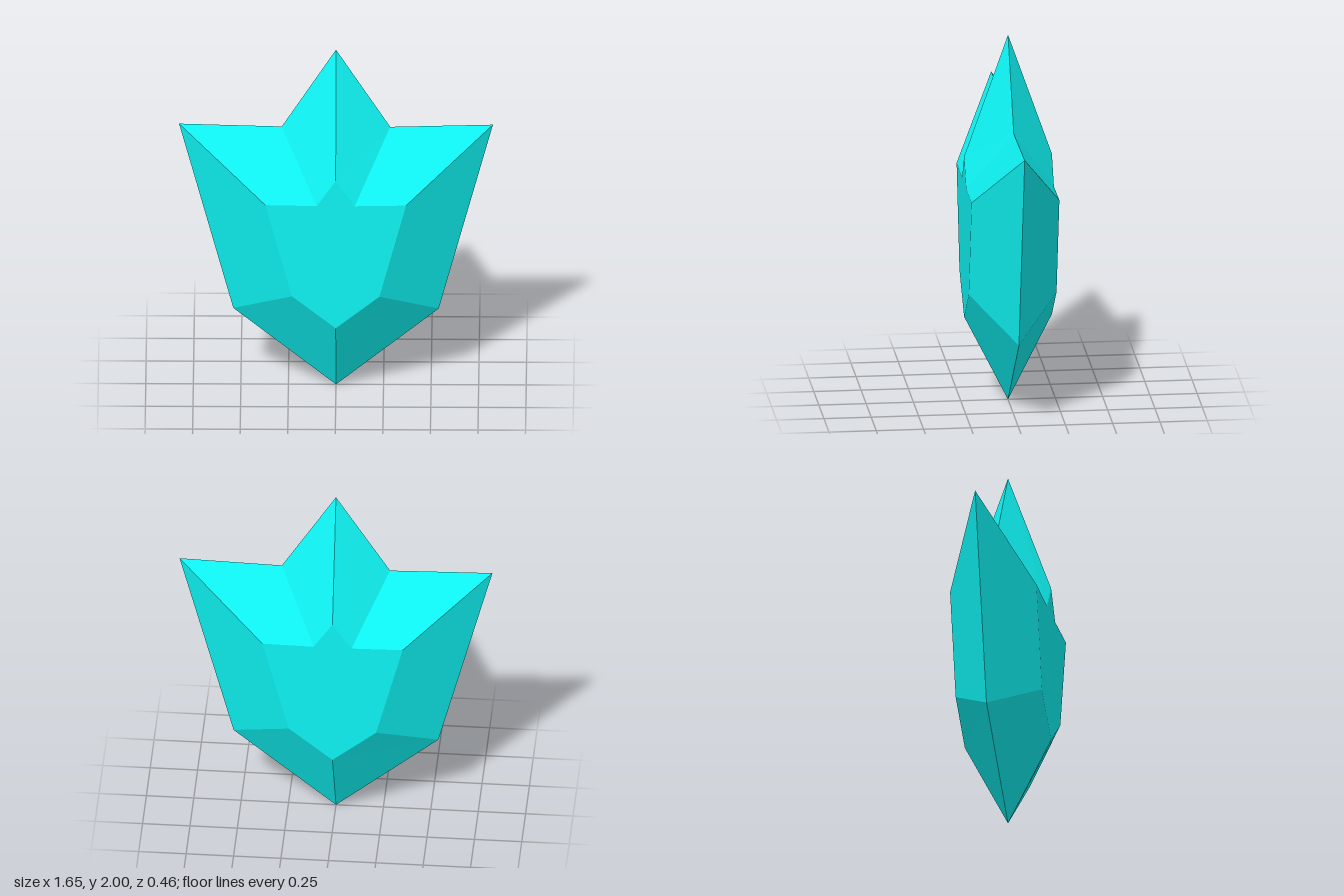
import * as THREE from 'three';

// Half outlines from bottom tip to top tip: the thin rim and the raised flat face
const rimHalf = [[0, 0], [0.54, 0.455], [0.825, 1.555], [0.285, 1.54], [0, 2]];
const faceHalf = [[0, 0.46], [0.23, 0.65], [0.37, 1.195], [0.1, 1.19], [0, 1.34]];
const DEPTH = 0.232;

// Complete a half outline with its mirror image, counter-clockwise
function mirrored(half) {
  const other = half.slice(1, -1).reverse().map(([x, y]) => [-x, y]);
  return [...half, ...other].map(([x, y]) => new THREE.Vector2(x, y));
}

// One faceted half of the crystal; side is 1 for front, -1 for back
function crystalHalf(side) {
  const rim = mirrored(rimHalf), face = mirrored(faceHalf);
  const positions = [];
  const triangle = (...corners) => {
    if (side < 0) corners.reverse();
    for (const [p, z] of corners) positions.push(p.x, p.y, z * side);
  };

  // Sloping facets from the rim to the flat face
  rim.forEach((p, i) => {
    const j = (i + 1) % rim.length;
    const a = [p, 0], b = [rim[j], 0], c = [face[j], DEPTH], d = [face[i], DEPTH];
    triangle(a, b, c);
    triangle(a, c, d);
  });

  // Flat face
  for (const tri of THREE.ShapeUtils.triangulateShape(face, [])) {
    triangle(...tri.map((i) => [face[i], DEPTH]));
  }

  const geometry = new THREE.BufferGeometry();
  geometry.setAttribute('position', new THREE.Float32BufferAttribute(positions, 3));
  geometry.computeVertexNormals();
  return geometry;
}

export function createModel() {
  const group = new THREE.Group();
  group.name = 'crystal';
  const material = new THREE.MeshStandardMaterial({ color: 0x0ff5f5, flatShading: true });
  for (const [name, side] of [['frontFacets', 1], ['backFacets', -1]]) {
    const mesh = new THREE.Mesh(crystalHalf(side), material);
    mesh.name = name;
    group.add(mesh);
  }
  return group;
}
